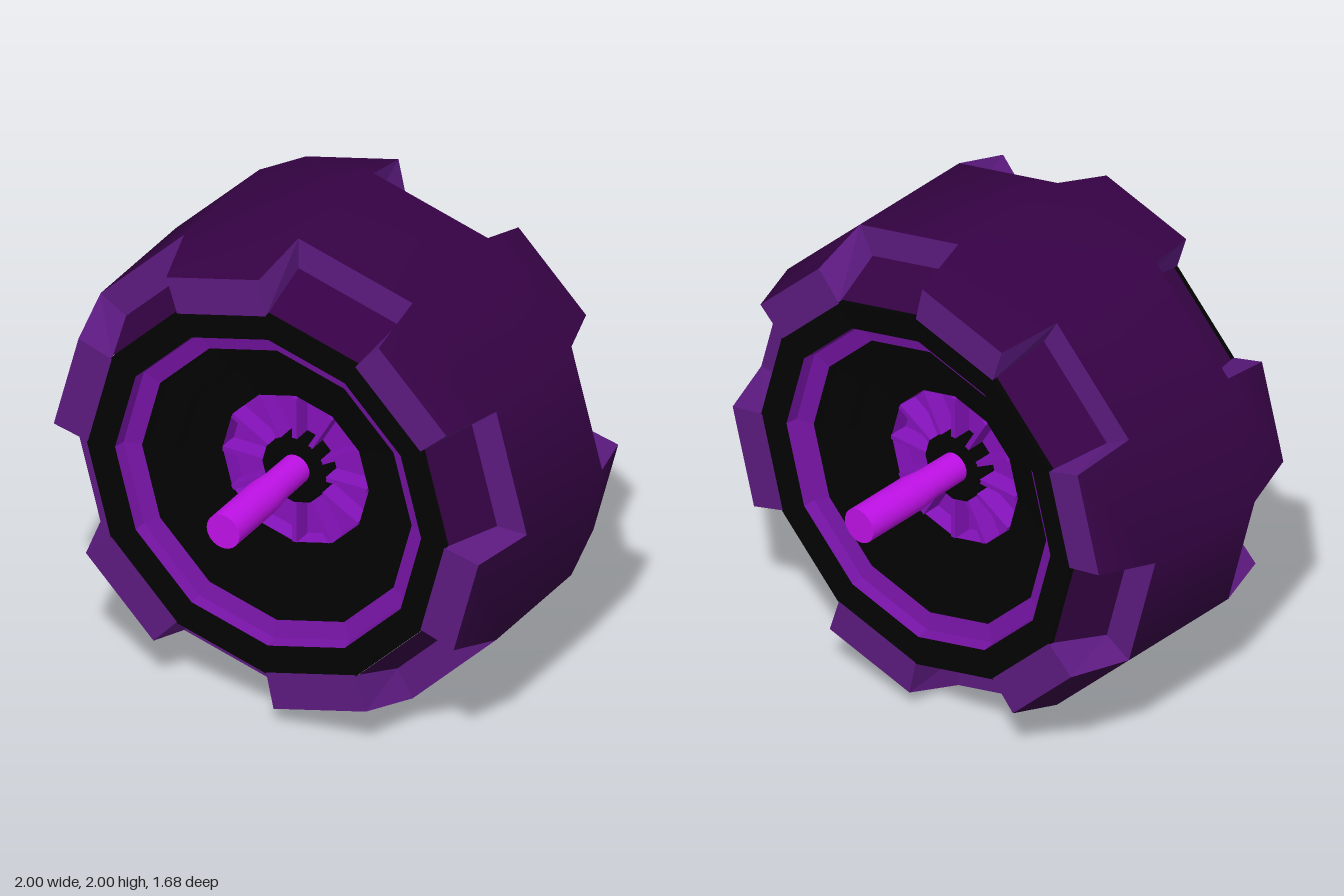
import * as THREE from 'three';
import { mergeVertices } from 'three/addons/utils/BufferGeometryUtils.js';

const mat = (name, color) => {
  const m = new THREE.MeshStandardMaterial({ color });
  m.name = name;
  return m;
};

const SIDES = 12;
const STEP = 30;

// Point at radius r, angle in degrees around the axle, depth z
const p = (r, deg, z) => {
  const a = THREE.MathUtils.degToRad(deg);
  return [r * Math.cos(a), r * Math.sin(a), z];
};

function quadGeometry(quads, smooth) {
  const pos = [];
  for (const [a, b, c, d] of quads) pos.push(...a, ...b, ...c, ...a, ...c, ...d);
  let geo = new THREE.BufferGeometry();
  geo.setAttribute('position', new THREE.Float32BufferAttribute(pos, 3));
  if (smooth) geo = mergeVertices(geo, 1e-4);
  geo.computeVertexNormals();
  return geo;
}

// Turned part with its axis along z; profile is a list of [radius, z]
function turned(profile, segments, smooth) {
  const pts = profile.map(([r, z]) => new THREE.Vector2(r, z));
  let geo = new THREE.LatheGeometry(pts, segments);
  if (!smooth) {
    geo = geo.toNonIndexed();
    geo.computeVertexNormals();
  }
  return geo.rotateX(Math.PI / 2);
}

function add(parent, name, geometry, material) {
  const mesh = new THREE.Mesh(geometry, material);
  mesh.name = name;
  parent.add(mesh);
  return mesh;
}

// Main band plus the bevelled tops of the lugs on both sides
function treadGeometry() {
  const quads = [];
  for (let i = 0; i < SIDES; i++) {
    const a = i * STEP, b = a + STEP;
    quads.push([p(1, a, -0.28), p(1, b, -0.28), p(1, b, 0.28), p(1, a, 0.28)]);
    if (i % 2 === 0) continue;
    quads.push([p(1, a, 0.28), p(1, b, 0.28), p(0.93, b - 2, 0.52), p(0.93, a + 2, 0.52)]);
    quads.push([p(0.93, a + 2, -0.52), p(0.93, b - 2, -0.52), p(1, b, -0.28), p(1, a, -0.28)]);
  }
  return quadGeometry(quads, true);
}

// Lug faces and notch walls on one side
function lugGeometry() {
  const quads = [];
  for (let i = 0; i < SIDES; i++) {
    const a = i * STEP, b = a + STEP;
    if (i % 2) {
      quads.push([p(0.93, a + 2, 0.52), p(0.93, b - 2, 0.52), p(0.78, b, 0.52), p(0.78, a, 0.52)]);
      continue;
    }
    quads.push([p(1, a, 0.28), p(1, b, 0.28), p(0.87, b, 0.28), p(0.87, a, 0.28)]);
    quads.push([p(0.87, a, 0.28), p(0.78, a, 0.52), p(0.93, a - 2, 0.52), p(1, a, 0.28)]);
    quads.push([p(1, b, 0.28), p(0.93, b + 2, 0.52), p(0.78, b, 0.52), p(0.87, b, 0.28)]);
  }
  return quadGeometry(quads, false);
}

// Sloping floors of the notches on one side
function floorGeometry() {
  const quads = [];
  for (let a = 0; a < 360; a += 2 * STEP) {
    const b = a + STEP;
    quads.push([p(0.87, a, 0.28), p(0.87, b, 0.28), p(0.7875, b, 0.5), p(0.7875, a, 0.5)]);
  }
  return quadGeometry(quads, false);
}

export function createModel() {
  const tread = mat('dark purple tread', 0x360245);
  const lug = mat('lug purple', 0x5c1a80);
  const rubber = mat('black', 0x020202);
  const rim = mat('rim purple', 0x7614a4);
  const hub = mat('hub purple', 0x8512bb);
  const axleMat = mat('bright axle purple', 0xc512ee);

  const model = new THREE.Group();
  model.name = 'wheel';
  add(model, 'tread', treadGeometry(), tread);

  const lugs = lugGeometry();
  const floors = floorGeometry();
  const sidewall = turned([[0.788, 0.47], [0.785, 0.52], [0.67, 0.505]], SIDES);
  const rimRing = turned([[0.67, 0.505], [0.662, 0.455], [0.59, 0.44]], SIDES);
  const dish = turned([[0.59, 0.44], [0.575, 0.41], [0.47, 0.38], [0.46, 0.34], [0.32, 0.3]], SIDES);
  // Sunken hub panel with thin radial fins standing on it
  const hubPanel = turned([[0.32, 0.3], [0.315, 0.23], [0.001, 0.23]], SIDES);
  const fin = new THREE.BoxGeometry(0.185, 0.02, 0.09).translate(0.222, 0, 0.265);
  const hubCap = turned([[0.14, 0.22], [0.14, 0.31], [0.125, 0.32], [0.09, 0.32], [0.085, 0.3], [0.05, 0.3]], SIDES);
  const axle = turned([[0.06, 0.25], [0.062, 0.46], [0.072, 0.55], [0.072, 0.84]], 20, true);
  const axleEnd = new THREE.CircleGeometry(0.072, 20).translate(0, 0, 0.84);

  // Both faces of the wheel; the back is turned so the notches line up
  for (const back of [false, true]) {
    const side = new THREE.Group();
    side.name = back ? 'backSide' : 'frontSide';
    if (back) side.rotation.set(0, Math.PI, Math.PI / 6);
    add(side, 'lugs', lugs, lug);
    add(side, 'notchFloors', floors, tread);
    add(side, 'sidewall', sidewall, rubber);
    add(side, 'rimRing', rimRing, rim);
    add(side, 'dish', dish, rubber);
    add(side, 'hubPanel', hubPanel, hub);
    add(side, 'hubCap', hubCap, rubber);
    for (let i = 0; i < SIDES; i++) {
      add(side, 'hubFin', fin, hub).rotation.z = THREE.MathUtils.degToRad(i * STEP);
    }
    add(side, 'axle', axle, axleMat);
    add(side, 'axleEnd', axleEnd, axleMat);
    model.add(side);
  }

  // Stand the wheel on the ground
  model.children.forEach((c) => { c.position.y = 1; });
  return model;
}
